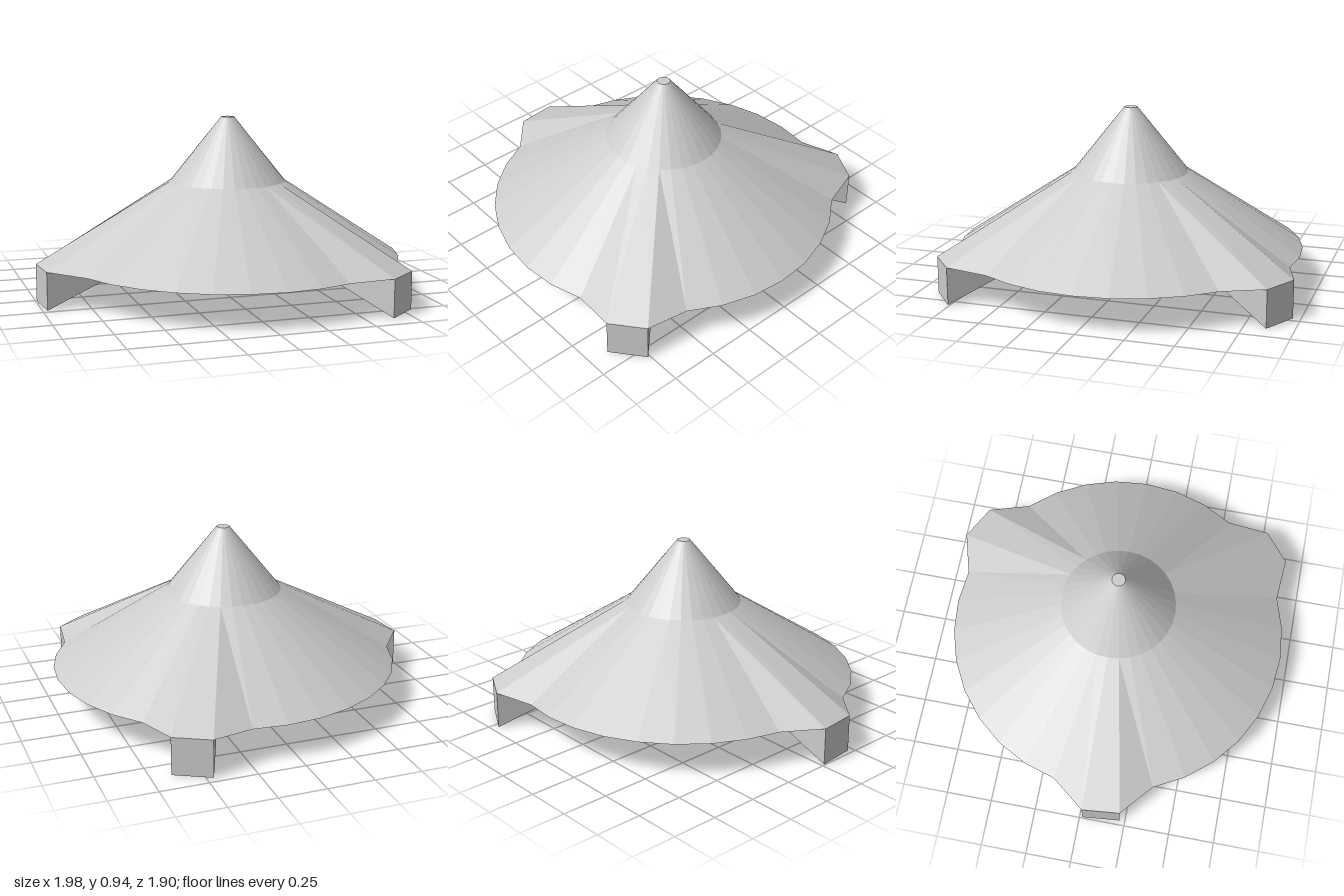
import * as THREE from 'three';

const SIDES = 32;
const LEG_STARTS = [4, 15, 26]; // rim segments that stretch outward into legs
const RIM = 0.93, LEG = 1.055, RING = 0.31, TIP = 0.035;
const BELLY = 0.4; // height of the flat centre of the underside

// Point at radius r and height y on the i-th spoke
function spoke(i, r, y) {
  const a = (i / SIDES) * Math.PI * 2;
  return [r * Math.cos(a), y, r * Math.sin(a)];
}

const isLegSpoke = (i) => LEG_STARTS.some((s) => i % SIDES === s || i % SIDES === s + 1);
const rim = (i) => (isLegSpoke(i) ? spoke(i, LEG, 0.2) : spoke(i, RIM, 0.19));
const ring = (i) => spoke(i, RING, 0.595);
const tip = (i) => spoke(i, TIP, 0.94);
const inner = (i) => spoke(i, RING, BELLY);
const centre = [0, BELLY, 0];

// Faceted mesh from convex faces, corners counter-clockwise from outside
function facetMesh(name, faces, material) {
  const positions = [];
  for (const f of faces) {
    for (let k = 1; k < f.length - 1; k++) positions.push(...f[0], ...f[k], ...f[k + 1]);
  }
  const geometry = new THREE.BufferGeometry();
  geometry.setAttribute('position', new THREE.Float32BufferAttribute(positions, 3));
  geometry.computeVertexNormals();
  const mesh = new THREE.Mesh(geometry, material);
  mesh.name = name;
  return mesh;
}

export function createModel() {
  const group = new THREE.Group();
  group.name = 'conicalBuilding';
  const material = new THREE.MeshStandardMaterial({ color: 0xcccccc, flatShading: true });

  const spire = [], skirt = [], underside = [];
  for (let i = 0; i < SIDES; i++) {
    const j = i + 1;
    // Steep upper cone with a small flat top
    spire.push([ring(i), tip(i), tip(j), ring(j)]);
    spire.push([tip(i), [0, 0.94, 0], tip(j)]);
    // Shallow roof skirt, stretched over each leg
    skirt.push([rim(i), ring(i), ring(j), rim(j)]);
    // Recessed underside between the legs
    if (!LEG_STARTS.includes(i)) {
      underside.push([inner(i), rim(i), rim(j), inner(j)]);
      underside.push([centre, inner(i), inner(j)]);
    }
  }
  group.add(facetMesh('spire', spire, material));
  group.add(facetMesh('roofSkirt', skirt, material));
  group.add(facetMesh('underside', underside, material));

  // Wedge legs running from the rim to the middle of the underside
  LEG_STARTS.forEach((i, n) => {
    const j = i + 1;
    const footI = spoke(i, LEG, 0), footJ = spoke(j, LEG, 0);
    group.add(facetMesh('leg' + (n + 1), [
      [footI, rim(i), rim(j), footJ],
      [centre, footI, footJ],
      [rim(i), footI, centre, inner(i)],
      [inner(j), centre, footJ, rim(j)],
    ], material));
  });

  group.position.set(0.06, 0, 0.015);
  const model = new THREE.Group();
  model.add(group);
  return model;
}
